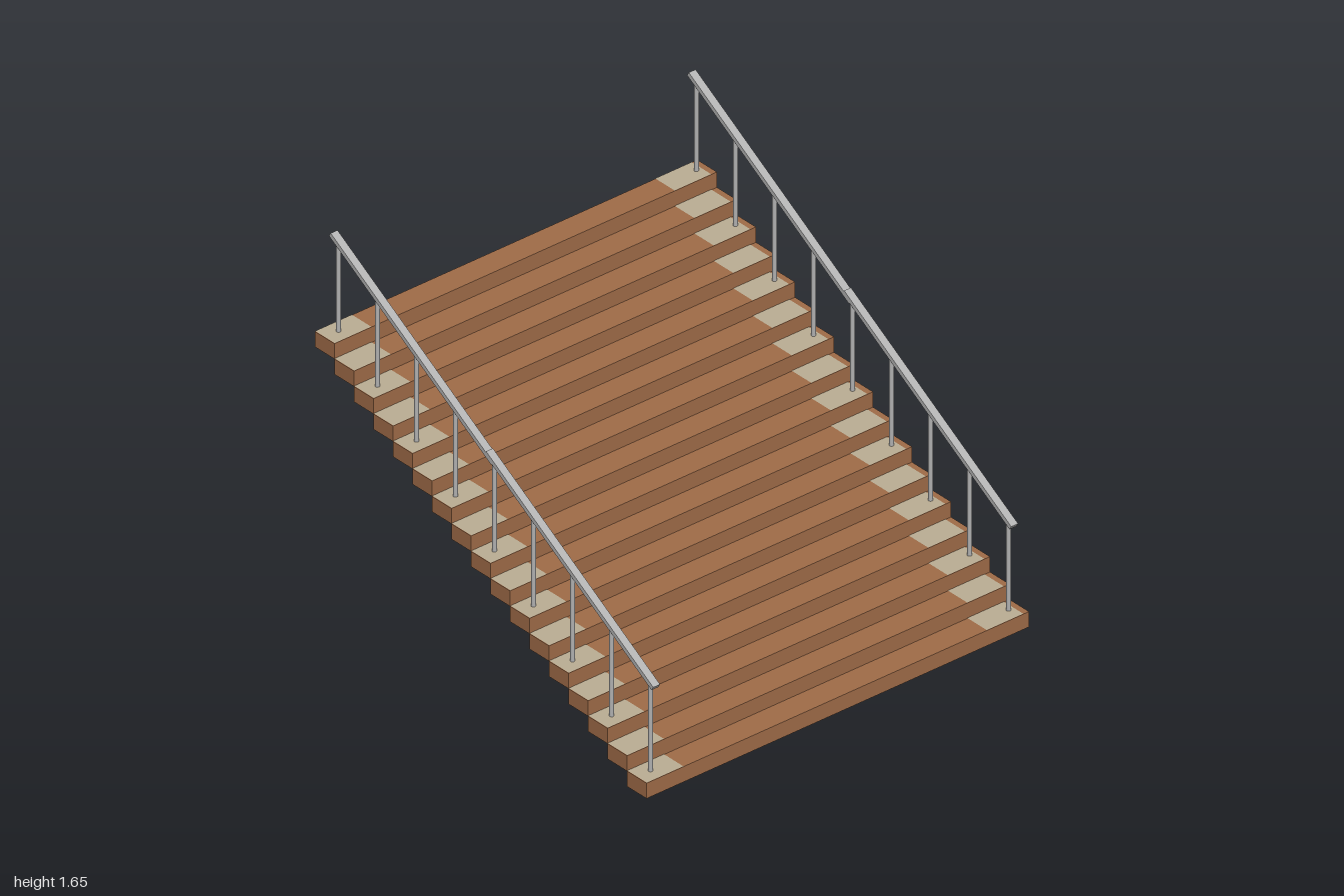
import * as THREE from 'three';

const STEPS = 17, RUN = 2 / STEPS, RISE = 1.2 / STEPS, DEPTH = 1.96;
const RAIL_Z = [0.91, -0.925];

export function createModel() {
  const model = new THREE.Group();
  model.name = 'staircase';
  const wood = new THREE.MeshStandardMaterial({ name: 'brownWood', color: 0xa06c48 });
  const pad = new THREE.MeshStandardMaterial({ name: 'beigePad', color: 0xbbae94 });
  const metal = new THREE.MeshStandardMaterial({ name: 'greyMetal', color: 0xb2b2b2 });

  const add = (parent, name, geometry, material, x, y, z) => {
    const mesh = new THREE.Mesh(geometry, material);
    mesh.name = name;
    mesh.position.set(x, y, z);
    parent.add(mesh);
    return mesh;
  };

  // Treads climb towards -x, each with a painted pad near both ends
  const treadGeo = new THREE.BoxGeometry(RUN, RISE, DEPTH);
  const padGeo = new THREE.PlaneGeometry(RUN, 0.187).rotateX(-Math.PI / 2);
  const stepX = i => 1 - (i + 0.5) * RUN;
  for (let i = 0; i < STEPS; i++) {
    const step = new THREE.Group();
    step.name = 'step';
    add(step, 'tread', treadGeo, wood, stepX(i), (i + 0.5) * RISE, 0);
    for (const z of [0.885, -0.857]) {
      add(step, 'endPad', padGeo, pad, stepX(i), (i + 1) * RISE + 0.002, z);
    }
    model.add(step);
  }

  // Rail bar of rectangular section between two points in the xy plane
  const addBar = (parent, x0, y0, x1, y1, z) => {
    const dx = x1 - x0, dy = y1 - y0;
    const geo = new THREE.BoxGeometry(Math.hypot(dx, dy), 0.02, 0.035);
    add(parent, 'handrail', geo, metal, (x0 + x1) / 2, (y0 + y1) / 2, z).rotation.z = Math.atan2(dy, dx);
  };

  // A post on every second step, carrying two lapped rail bars
  const POST = 0.42;
  const postGeo = new THREE.CylinderGeometry(0.01, 0.01, POST, 10);
  const railY = x => 1.055 - 0.6 * x;
  for (const z of RAIL_Z) {
    const railing = new THREE.Group();
    railing.name = z > 0 ? 'frontRailing' : 'backRailing';
    for (let i = 0; i < STEPS; i += 2) {
      add(railing, 'post', postGeo, metal, stepX(i), (i + 1) * RISE + POST / 2, z);
    }
    addBar(railing, -0.972, railY(-0.972), 0.005, railY(0.005) - 0.003, z);
    addBar(railing, -0.035, railY(-0.035) + 0.003, 0.973, railY(0.973), z);
    model.add(railing);
  }
  return model;
}
